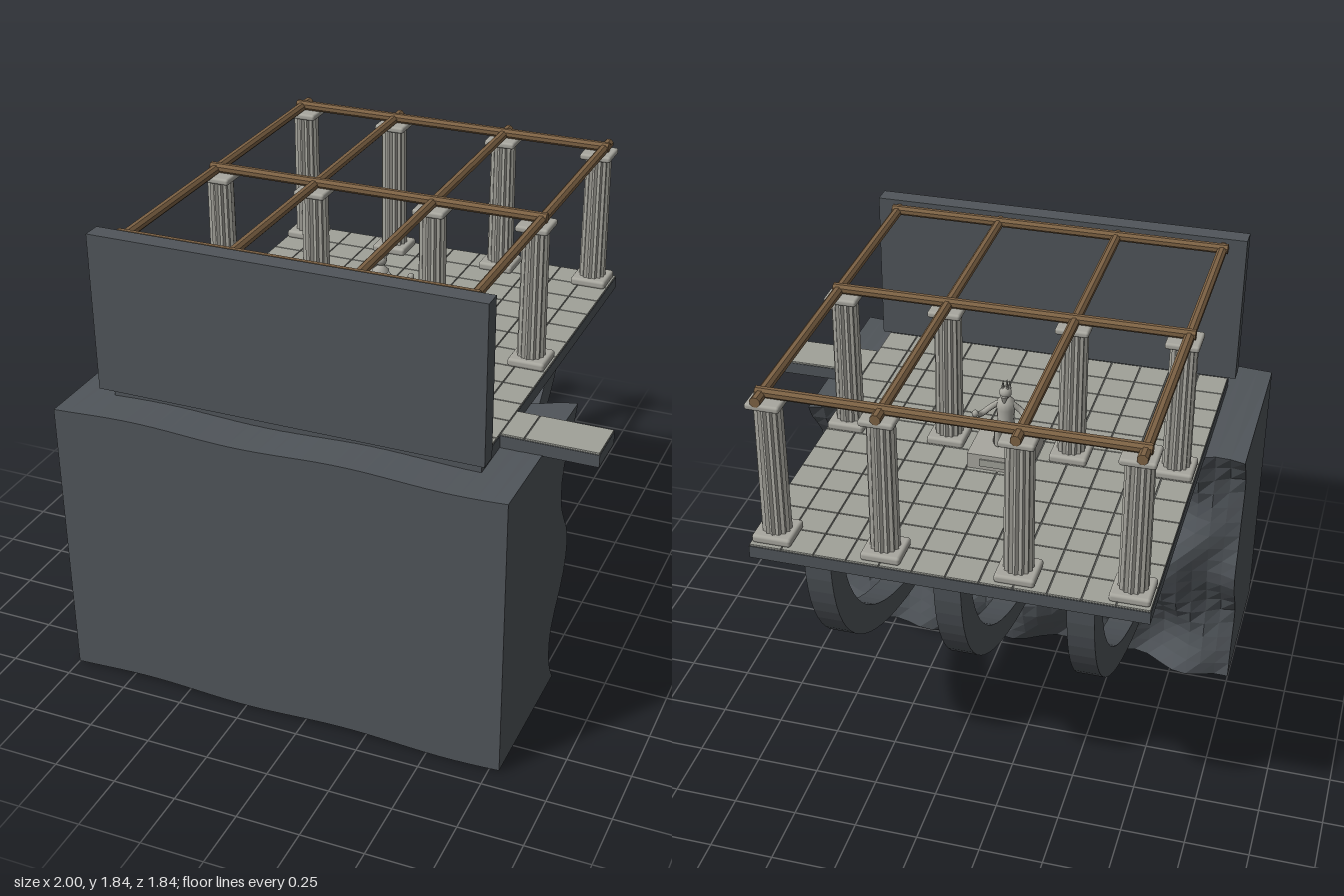
import * as THREE from 'three';
import { RoundedBoxGeometry } from 'three/addons/geometries/RoundedBoxGeometry.js';

const material = (name, color) => {
  const m = new THREE.MeshStandardMaterial({ color });
  m.name = name;
  return m;
};

// Facet a geometry so every face has its own normal
function faceted(geometry) {
  const g = geometry.index ? geometry.toNonIndexed() : geometry;
  g.computeVertexNormals();
  return g;
}

export function createModel() {
  const root = new THREE.Group();
  root.name = 'cliffTemple';
  const rock = material('darkRock', 0x50555a);
  const tile = material('paleTile', 0xa0a199);
  const stone = material('columnStone', 0xa8a79f);
  const wood = material('brownWood', 0x7d6244);
  const grout = material('darkGrout', 0x6a6c69);

  const add = (parent, name, geometry, mat, x = 0, y = 0, z = 0) => {
    const mesh = new THREE.Mesh(geometry, mat);
    mesh.name = name;
    mesh.position.set(x, y, z);
    parent.add(mesh);
    return mesh;
  };
  // Box given by its limits on each axis
  const block = (parent, name, mat, x0, x1, y0, y1, z0, z1) =>
    add(parent, name, new THREE.BoxGeometry(x1 - x0, y1 - y0, z1 - z0), mat,
      (x0 + x1) / 2, (y0 + y1) / 2, (z0 + z1) / 2);

  // Cliff: flat front and sides, rippled rock face at the back
  const cliffGeo = new THREE.BoxGeometry(1.79, 1.155, 1, 30, 18, 1);
  const p = cliffGeo.attributes.position;
  for (let i = 0; i < p.count; i++) {
    const x = p.getX(i) - 0.105;
    const y = p.getY(i) + 0.5875;
    let z = 0.915;
    if (p.getZ(i) < 0) {
      z = 0.295 - 0.095 * y
        + 0.042 * Math.cos(9.2 * (y - 0.9) + 4 * (x - 0.79))
        + 0.03 * Math.sin(17 * (x - 0.79) + 1.6 * Math.sin(9 * y));
    }
    p.setXYZ(i, x, y + 0.008 * Math.sin(7.5 * x - 1.5 + 2 * z), z);
  }
  add(root, 'cliff', faceted(cliffGeo), rock);

  // Back wall, floor slab and side walkway
  block(root, 'wall', rock, -0.87, 0.66, 1.215, 1.84, 0.72, 0.795);
  block(root, 'floorSlab', rock, -0.84, 0.63, 1.158, 1.207, -0.92, 0.74);
  block(root, 'walkway', rock, 0.63, 1, 1.158, 1.207, 0.365, 0.55);
  block(root, 'floorGrout', grout, -0.838, 0.628, 1.207, 1.21, -0.918, 0.72);
  block(root, 'walkwayGrout', grout, 0.628, 0.998, 1.207, 1.21, 0.367, 0.548);

  // Floor tiles
  const floor = new THREE.Group();
  floor.name = 'floorTiles';
  root.add(floor);
  const layTiles = (x0, x1, z0, z1, nx, nz) => {
    const w = (x1 - x0) / nx, d = (z1 - z0) / nz;
    const geo = new THREE.BoxGeometry(w - 0.005, 0.007, d - 0.005);
    for (let i = 0; i < nx; i++) {
      for (let j = 0; j < nz; j++) {
        add(floor, 'tile', geo, tile, x0 + (i + 0.5) * w, 1.2115, z0 + (j + 0.5) * d);
      }
    }
  };
  layTiles(-0.84, 0.63, -0.92, 0.72, 12, 12);
  layTiles(0.63, 0.72, 0.365, 0.55, 1, 1);
  layTiles(0.72, 1, 0.365, 0.55, 1, 1);

  // Fluted columns with square bases and capitals
  const shaftGeo = new THREE.CylinderGeometry(0.052, 0.055, 0.53, 28, 1);
  const s = shaftGeo.attributes.position;
  for (let i = 0; i < s.count; i++) {
    const step = Math.round(Math.atan2(s.getX(i), s.getZ(i)) / (Math.PI / 14));
    if (step % 2) {
      s.setX(i, s.getX(i) * 0.86);
      s.setZ(i, s.getZ(i) * 0.86);
    }
  }
  const shaft = faceted(shaftGeo);
  const base = new RoundedBoxGeometry(0.148, 0.034, 0.145, 2, 0.012);
  const capital = new RoundedBoxGeometry(0.128, 0.026, 0.128, 2, 0.01);
  for (const z of [-0.03, -0.833]) {
    for (const x of [-0.76, -0.35, 0.14, 0.55]) {
      const column = new THREE.Group();
      column.name = 'column';
      column.position.set(x, 0, z);
      root.add(column);
      add(column, 'columnBase', base, stone, 0, 1.23, 0);
      add(column, 'columnShaft', shaft, stone, 0, 1.508, 0);
      add(column, 'columnCapital', capital, stone, 0, 1.78, 0);
    }
  }

  // Roof beams
  const beam = (name, length) =>
    faceted(new THREE.CylinderGeometry(0.02, 0.02, length, 8).rotateY(Math.PI / 8));
  const longBeam = beam('long', 1.62).rotateX(Math.PI / 2);
  const crossBeam = beam('cross', 1.39).rotateZ(Math.PI / 2);
  for (const x of [-0.777, -0.35, 0.138, 0.57]) add(root, 'longBeam', longBeam, wood, x, 1.805, -0.09);
  for (const z of [-0.835, -0.035, 0.69]) add(root, 'crossBeam', crossBeam, wood, -0.105, 1.812, z);

  // Curved struts from the cliff to the floor's free edge
  const outline = new THREE.Shape();
  outline.moveTo(0.895, 1.15);
  outline.quadraticCurveTo(0.86, 0.46, -0.33, 0.35);
  outline.lineTo(-0.33, 0.425);
  outline.quadraticCurveTo(0.69, 0.54, 0.775, 1.15);
  const strutGeo = new THREE.ExtrudeGeometry(outline, { depth: 0.1, bevelEnabled: false, curveSegments: 20 });
  strutGeo.translate(0, 0, -0.05).rotateY(Math.PI / 2);
  for (const x of [-0.59, -0.105, 0.38]) add(root, 'strut', strutGeo, rock, x);
  block(root, 'strutPlate', stone, -0.76, 0.55, 1.143, 1.16, -0.89, -0.78);

  // Statue on its pedestal, facing the open side
  const statue = new THREE.Group();
  statue.name = 'statue';
  statue.position.set(-0.105, 1.21, -0.097);
  root.add(statue);
  block(statue, 'pedestal', stone, -0.12, 0.12, 0, 0.068, -0.122, 0.122);
  block(statue, 'pedestalPanel', tile, -0.07, 0.07, 0.02, 0.05, -0.127, -0.121);
  const robe = [[0, 0.066], [0.05, 0.066], [0.042, 0.11], [0.032, 0.17], [0.036, 0.22], [0.034, 0.25], [0.012, 0.268], [0, 0.27]];
  add(statue, 'robe', new THREE.LatheGeometry(robe.map(([r, y]) => new THREE.Vector2(r, y)), 14), stone);
  add(statue, 'head', new THREE.SphereGeometry(0.024, 12, 10), stone, 0, 0.29, -0.006);
  add(statue, 'beard', new THREE.ConeGeometry(0.015, 0.04, 8).rotateX(Math.PI), stone, 0, 0.262, -0.025);
  const spike = new THREE.ConeGeometry(0.007, 0.035, 6);
  for (let i = 0; i < 5; i++) {
    const a = i * Math.PI * 0.4;
    add(statue, 'crownSpike', spike, stone, 0.014 * Math.sin(a), 0.32, 0.014 * Math.cos(a));
  }
  for (const side of [-1, 1]) {
    const arm = new THREE.CatmullRomCurve3([[0.025, 0.24, 0], [0.06, 0.21, 0.005], [0.09, 0.19, -0.02], [0.103, 0.205, -0.06]]
      .map(([x, y, z]) => new THREE.Vector3(side * x, y, z)));
    add(statue, 'arm', new THREE.TubeGeometry(arm, 10, 0.012, 8), stone);
    add(statue, 'hand', new THREE.SphereGeometry(0.014, 8, 6), stone, side * 0.104, 0.212, -0.062);
    add(statue, 'leg', new THREE.CapsuleGeometry(0.016, 0.07, 3, 8), stone, side * 0.02, 0.11, -0.035);
  }
  return root;
}
